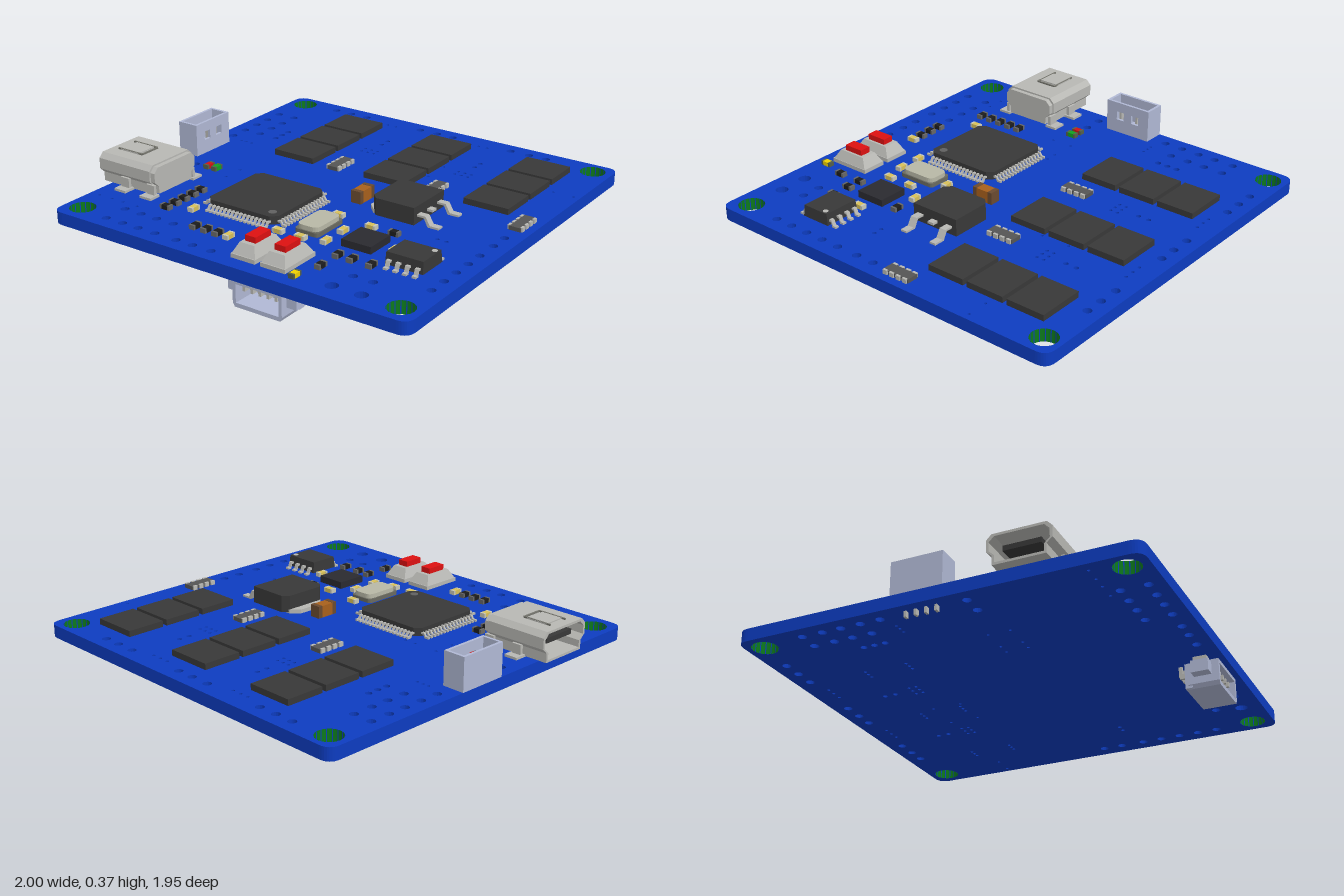
import * as THREE from 'three';

const BLUE = 0x0d3cc0, DARK = 0x383838, METAL = 0xb8b8b4, LILAC = 0xb0b8d4, YELLOW = 0xd8c05a;
const TOP = 0.2, BOTTOM = 0.137;
const mats = {};
const mat = (color) => (mats[color] ??= new THREE.MeshStandardMaterial({ color, side: THREE.DoubleSide }));

function add(parent, name, geo, color, x = 0, y = 0, z = 0) {
  const m = new THREE.Mesh(geo, mat(color));
  m.name = name;
  m.position.set(x, y, z);
  parent.add(m);
  return m;
}
function group(parent, name, x = 0, y = 0, z = 0) {
  const g = new THREE.Group();
  g.name = name;
  g.position.set(x, y, z);
  parent.add(g);
  return g;
}
// Box given by its lower and upper corners
function span(parent, name, color, x0, x1, y0, y1, z0, z1) {
  return add(parent, name, new THREE.BoxGeometry(x1 - x0, y1 - y0, z1 - z0), color,
    (x0 + x1) / 2, (y0 + y1) / 2, (z0 + z1) / 2);
}
// Box standing on y = 0 whose top face shrinks
function taper(w, h, d, sx, sz) {
  const g = new THREE.BoxGeometry(w, h, d).translate(0, h / 2, 0);
  const p = g.attributes.position;
  for (let i = 0; i < p.count; i++) {
    if (p.getY(i) > h / 2) p.setXYZ(i, p.getX(i) * sx, h, p.getZ(i) * sz);
  }
  g.computeVertexNormals();
  return g;
}
function roundRect(w, d, r) {
  const s = new THREE.Shape(), x = w / 2, y = d / 2;
  s.moveTo(-x + r, -y).lineTo(x - r, -y).quadraticCurveTo(x, -y, x, -y + r);
  s.lineTo(x, y - r).quadraticCurveTo(x, y, x - r, y);
  s.lineTo(-x + r, y).quadraticCurveTo(-x, y, -x, y - r);
  s.lineTo(-x, -y + r).quadraticCurveTo(-x, -y, -x + r, -y);
  return s;
}
// Flat plate standing on y = 0; one curve segment gives chamfered corners
const plate = (shape, h, seg = 1) =>
  new THREE.ExtrudeGeometry(shape, { depth: h, bevelEnabled: false, curveSegments: seg }).rotateX(-Math.PI / 2);
const dot = (r) => new THREE.CylinderGeometry(r, r, 0.002, 20);

function board(root) {
  const shape = roundRect(1.95, 1.95, 0.06);
  const hole = (x, z, r) => shape.holes.push(new THREE.Path().absarc(x - 0.02, -z, r, 0, Math.PI * 2, true));
  const row = (xs, zs, r) => xs.forEach((x) => zs.forEach((z) => hole(x, z, r)));
  const mounts = [[-0.86, -0.885], [0.897, -0.885], [-0.86, 0.873], [0.897, 0.873]];
  mounts.forEach(([x, z]) => hole(x, z, 0.064));
  // Header holes
  row([-0.66, -0.56, -0.46, -0.115, -0.01, 0.085, 0.43, 0.535, 0.63], [-0.902], 0.021);
  row([-0.883, -0.783], [-0.67, -0.565, -0.47, -0.37, 0.155], 0.021);
  hole(-0.883, -0.27, 0.021);
  row([-0.675], [-0.475, -0.42, -0.365], 0.016);
  row([0.917], [0.055, 0.155, 0.275, 0.375, 0.475, 0.575, 0.675], 0.021);
  row([-0.685, -0.585, -0.49, -0.39], [0.775, 0.9], 0.021);
  row([-0.265, -0.17, -0.065], [0.9], 0.021);
  row([0.58, 0.68], [0.75], 0.021);
  row([0.557, 0.705], [0.873], 0.031);
  // Vias
  row([-0.345, -0.3, -0.25, 0.21, 0.26, 0.31], [-0.87], 0.008);
  for (const c of [-0.417, 0.128, 0.69]) row([-0.03, 0, 0.03].map((o) => c + o), [-0.605, -0.385], 0.008);
  for (const c of [-0.165, 0.388]) {
    row([c - 0.036, c, c + 0.036], [-0.507, -0.47], 0.008);
    row([c], [-0.66, -0.603], 0.012);
  }
  row([0.68, 0.725], [0.235], 0.01);
  row([-0.8, -0.77, -0.735], [-0.235], 0.007);
  row([-0.9, -0.82, -0.75, -0.66], [0.72], 0.007);
  row([0.07, 0.26], [-0.37, -0.52], 0.007);
  row([0.855, 0.96], [-0.54], 0.007);
  row([-0.55, -0.42, -0.36], [0.09, 0.2], 0.007);
  add(root, 'board', plate(shape, TOP - BOTTOM, 8), BLUE, 0.02, BOTTOM, 0);
  for (const [x, z] of mounts) {
    add(root, 'mountingHoleLining', new THREE.CylinderGeometry(0.063, 0.063, TOP - BOTTOM, 32, 1, true),
      0x0c7a1c, x, (TOP + BOTTOM) / 2, z);
  }
}

// Small two-terminal part; along x, or along z when upright
function chipPart(root, name, x, z, color, ends, upright, l = 0.055, w = 0.03, h = 0.022) {
  const g = group(root, name, x, TOP, z);
  add(g, 'body', new THREE.BoxGeometry(l * 0.6, h, w), color, 0, h / 2, 0);
  for (const s of [-1, 1]) add(g, 'terminal', new THREE.BoxGeometry(l * 0.2, h * 1.05, w * 1.02), ends, s * l * 0.4, h / 2, 0);
  if (upright) g.rotation.y = Math.PI / 2;
}

// Gull-wing lead running outwards along +x from the body
function lead(parent, x, z, len, w, high, angle = 0) {
  const t = 0.01, s = new THREE.Shape();
  s.moveTo(0, high).lineTo(len * 0.4, high).lineTo(len * 0.6, t).lineTo(len, t).lineTo(len, 0);
  s.lineTo(len * 0.5, 0).lineTo(len * 0.32, high - t).lineTo(0, high - t);
  const g = new THREE.ExtrudeGeometry(s, { depth: w, bevelEnabled: false }).translate(x, 0, z - w / 2).rotateY(angle);
  return add(parent, 'lead', g, METAL);
}

function processor(root) {
  const g = group(root, 'processor', -0.187, TOP, 0.345);
  add(g, 'body', plate(roundRect(0.4, 0.4, 0.03), 0.04), DARK, 0, 0.006, 0);
  add(g, 'pinMark', dot(0.02), 0x606060, 0.15, 0.047, 0.15);
  for (let side = 0; side < 4; side++) {
    for (let i = 0; i < 16; i++) lead(g, 0.195, (i - 7.5) * 0.0225, 0.047, 0.011, 0.026, side * Math.PI / 2);
  }
}

function regulator(root) {
  const g = group(root, 'regulator', 0.4, TOP, 0.048);
  const s = new THREE.Shape();
  s.moveTo(-0.115, -0.1).lineTo(-0.085, -0.13).lineTo(0.12, -0.13).lineTo(0.12, 0.13).lineTo(-0.085, 0.13).lineTo(-0.115, 0.1);
  add(g, 'body', plate(s, 0.085), DARK, 0, 0.005, 0);
  add(g, 'heatTab', plate(roundRect(0.12, 0.21, 0.04), 0.02), METAL, -0.095, 0, 0);
  for (const z of [-0.088, 0.088]) lead(g, 0.12, z, 0.115, 0.034, 0.05);
  span(g, 'middleStub', METAL, 0.12, 0.15, 0.035, 0.047, -0.017, 0.017);
}

function smallOutline(root) {
  const g = group(root, 'eightPinChip', 0.729, TOP, 0.512);
  add(g, 'body', taper(0.19, 0.058, 0.156, 0.97, 0.93), DARK, 0, 0.008, 0);
  add(g, 'pinMark', dot(0.013), METAL, 0.074, 0.067, -0.048);
  for (const a of [1, -1]) {
    for (let i = 0; i < 4; i++) lead(g, 0.074, (i - 1.5) * 0.048, 0.042, 0.02, 0.035, a * Math.PI / 2);
  }
}

function button(root, x) {
  const g = group(root, 'pushButton', x, TOP, 0.79);
  add(g, 'base', new THREE.BoxGeometry(0.132, 0.02, 0.22), METAL, 0, 0.01, 0);
  add(g, 'cover', taper(0.126, 0.047, 0.21, 0.65, 0.72), METAL, 0, 0.02, 0);
  add(g, 'plunger', new THREE.BoxGeometry(0.058, 0.035, 0.106), 0xdd1111, 0, 0.078, 0);
}

function usbSocket(root) {
  const g = group(root, 'usbSocket', 0, TOP, 0.452);
  // Wide upper half stepping in to a narrower lower half
  const outline = (k) => {
    const w = 0.152 - k, n = 0.125 - k, t = 0.154 - k, b = 0.004 + k;
    return [[-n, b], [n, b], [n, 0.05], [w, 0.075], [w, t - 0.025], [w - 0.025, t], [-w + 0.025, t], [-w, t - 0.025], [-w, 0.075], [-n, 0.05]]
      .map(([x, y]) => new THREE.Vector2(x, y));
  };
  const tube = (shape, depth) => new THREE.ExtrudeGeometry(shape, { depth, bevelEnabled: false }).rotateY(-Math.PI / 2);
  const shell = new THREE.Shape(outline(0));
  shell.holes.push(new THREE.Path(outline(0.012)));
  add(g, 'shell', tube(shell, 0.32), METAL, -0.68, 0, 0);
  add(g, 'rearWall', tube(new THREE.Shape(outline(0.008)), 0.045), METAL, -0.655, 0, 0);
  span(g, 'tongue', DARK, -0.97, -0.7, 0.08, 0.105, -0.09, 0.09);
  span(g, 'topRib', METAL, -0.94, -0.83, 0.152, 0.16, -0.06, 0.06);
  // Spring slots drawn as thin recess strips
  for (const z of [-0.055, 0.055]) span(g, 'springSlot', 0x77776f, -0.96, -0.81, 0.153, 0.1615, z - 0.004, z + 0.004);
  span(g, 'springSlot', 0x77776f, -0.814, -0.806, 0.153, 0.1615, -0.055, 0.055);
  for (const s of [-1, 1]) {
    for (const x of [-0.845, -0.685]) {
      span(g, 'solderTab', METAL, x - 0.035, x + 0.035, 0, 0.012, s * 0.155 - 0.032, s * 0.155 + 0.032);
      span(g, 'tabFoot', METAL, x - 0.025, x + 0.025, 0, 0.06, s * 0.14 - 0.008, s * 0.14 + 0.008);
    }
  }
}

function topHeader(root) {
  const g = group(root, 'uprightHeader', -0.898, TOP, -0.057);
  span(g, 'floor', LILAC, -0.057, 0.057, 0, 0.03, -0.128, 0.128);
  span(g, 'backWall', LILAC, -0.057, -0.043, 0, 0.165, -0.128, 0.128);
  for (const s of [-1, 1]) span(g, 'endWall', LILAC, -0.043, 0.043, 0, 0.165, s * 0.121 - 0.007, s * 0.121 + 0.007);
  const wall = new THREE.Shape([[-0.128, 0], [0.128, 0], [0.128, 0.165], [-0.128, 0.165]].map((p) => new THREE.Vector2(...p)));
  for (const z of [-0.045, 0.045]) {
    wall.holes.push(new THREE.Path([[z - 0.022, 0.07], [z + 0.022, 0.07], [z + 0.022, 0.115], [z - 0.022, 0.115]].map((p) => new THREE.Vector2(...p))));
  }
  add(g, 'windowWall', new THREE.ExtrudeGeometry(wall, { depth: 0.014, bevelEnabled: false }).rotateY(-Math.PI / 2), LILAC, 0.057, 0, 0);
  for (let i = 0; i < 4; i++) span(g, 'pin', METAL, -0.012, 0.012, -0.092, 0.12, (i - 1.5) * 0.05 - 0.006, (i - 1.5) * 0.05 + 0.006);
}

function bottomConnector(root) {
  const g = group(root, 'undersideConnector', 0.222, 0, 0.87);
  const s = new THREE.Shape([[-0.122, 0], [0.122, 0], [0.132, 0.02], [0.132, 0.128], [-0.132, 0.128], [-0.132, 0.02]].map((p) => new THREE.Vector2(...p)));
  s.holes.push(new THREE.Path([[-0.115, 0.02], [0.115, 0.02], [0.115, 0.11], [-0.115, 0.11]].map((p) => new THREE.Vector2(...p))));
  add(g, 'housing', new THREE.ExtrudeGeometry(s, { depth: 0.15, bevelEnabled: false }), LILAC, 0, 0, -0.07);
  span(g, 'rearWall', LILAC, -0.13, 0.13, 0.004, 0.128, -0.085, -0.05);
  for (let i = -2; i <= 2; i++) {
    span(g, 'contact', METAL, i * 0.043 - 0.007, i * 0.043 + 0.007, 0.075, 0.1, -0.12, 0.06);
    span(g, 'contactFoot', METAL, i * 0.043 - 0.007, i * 0.043 + 0.007, 0.085, BOTTOM, -0.125, -0.108);
  }
  for (const k of [-1, 1]) {
    span(g, 'sideLug', LILAC, k * 0.157 - 0.027, k * 0.157 + 0.027, 0.055, 0.115, -0.04, 0.045);
    span(g, 'lugFoot', METAL, k * 0.152 - 0.02, k * 0.152 + 0.02, 0.11, BOTTOM, -0.03, 0.035);
  }
}

export function createModel() {
  const root = new THREE.Group();
  root.name = 'circuitBoard';
  board(root);
  // Nine power transistors
  for (const x of [-0.417, 0.128, 0.69]) {
    for (const z of [-0.713, -0.494, -0.275]) add(root, 'powerTransistor', new THREE.BoxGeometry(0.238, 0.03, 0.197), DARK, x, TOP + 0.015, z);
  }
  // Sense resistors with rows of terminals
  for (const [x, z] of [[-0.172, -0.24], [0.378, -0.24], [0.917, -0.11]]) {
    const g = group(root, 'senseResistor', x, TOP, z);
    span(g, 'body', 0x555555, -0.03, 0.03, 0, 0.02, -0.073, 0.073);
    for (const s of [-1, 1]) {
      for (let i = 0; i < 4; i++) span(g, 'terminal', METAL, s * 0.032 - 0.006, s * 0.032 + 0.006, 0, 0.022, (i - 1.5) * 0.038 - 0.012, (i - 1.5) * 0.038 + 0.012);
    }
  }
  processor(root);
  regulator(root);
  smallOutline(root);
  span(root, 'driverChip', 0x2a2a30, 0.37, 0.525, TOP, 0.235, 0.38, 0.535);
  // Crystal
  add(root, 'crystalBase', plate(roundRect(0.13, 0.205, 0.02), 0.02, 4), 0x6a6a60, 0.174, TOP, 0.428);
  add(root, 'crystalLid', plate(roundRect(0.116, 0.19, 0.035), 0.022, 5), 0xb8b8a6, 0.174, TOP + 0.02, 0.428);
  for (const x of [0.11, 0.27]) button(root, x);
  usbSocket(root);
  topHeader(root);
  bottomConnector(root);

  // Small surface parts: [x, z, upright]
  chipPart(root, 'tantalumCapacitor', 0.157, 0.052, 0xa8601c, 0x6a4a30, true, 0.115, 0.055, 0.06);
  for (const [x, z, up] of [[0.182, 0.28], [0.377, 0.307], [0.295, 0.413, 1], [0.295, 0.545, 1], [0.595, 0.455, 1],
    [0.06, 0.578], [0.182, 0.578], [-0.413, 0.605, 1], [-0.088, 0.75, 1]]) chipPart(root, 'capacitor', x, z, YELLOW, 0xc8c8b8, up);
  for (let i = 0; i < 5; i++) chipPart(root, 'resistor', -0.53, 0.412 + i * 0.0625, 0x1c1c1c, 0x666666, false);
  for (const [x, z, up] of [[0.5, 0.307], [-0.28, 0.75, 1], [-0.215, 0.75, 1], [-0.15, 0.75, 1], [0.42, 0.632, 1],
    [0.495, 0.632, 1], [0.593, 0.632, 1], [0.42, 0.76, 1]]) chipPart(root, 'resistor', x, z, 0x1c1c1c, 0x666666, up);
  for (const [x, z, c] of [[-0.697, 0.152, 0xcc1515], [-0.648, 0.152, 0x12a022], [0.382, 0.893, 0xf0d000]]) chipPart(root, 'indicatorLight', x, z, c, 0x55604a, true);
  return root;
}
